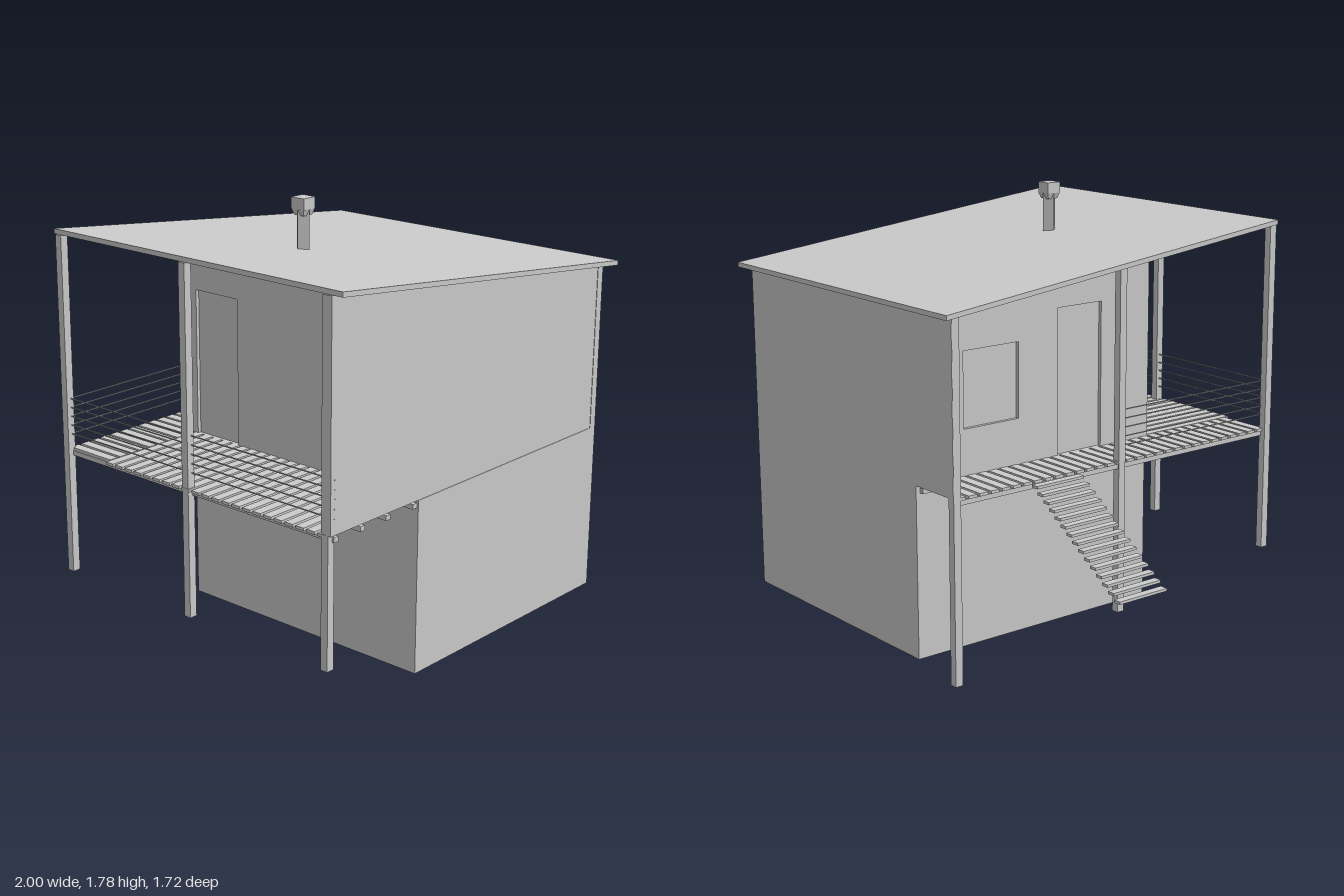
import * as THREE from 'three';

const grey = new THREE.MeshStandardMaterial({ color: 0xcccccc, flatShading: true });
const under = (z) => 1.535 + 0.111 * z; // underside of the sloping roof

export function createModel() {
  const house = new THREE.Group();
  house.name = 'stiltHouse';

  const add = (name, geometry, parent = house) => {
    const mesh = new THREE.Mesh(geometry, grey);
    mesh.name = name;
    parent.add(mesh);
    return mesh;
  };
  // Box given by its limits on each axis
  const box = (name, x0, x1, y0, y1, z0, z1, parent) => {
    const g = new THREE.BoxGeometry(x1 - x0, y1 - y0, z1 - z0);
    g.translate((x0 + x1) / 2, (y0 + y1) / 2, (z0 + z1) / 2);
    return add(name, g, parent);
  };
  const outline = (points) => points.map(([a, b]) => new THREE.Vector2(a, b));
  const rect = (a0, a1, b0, b1) => [[a0, b0], [a1, b0], [a1, b1], [a0, b1]];
  const sheet = (points, holes, depth) => {
    const shape = new THREE.Shape(outline(points));
    holes.forEach((h) => shape.holes.push(new THREE.Path(outline(h))));
    return new THREE.ExtrudeGeometry(shape, { depth, bevelEnabled: false });
  };
  // Side profile in (z, y), extruded across from x0 to x1
  const profile = (name, points, x0, x1, holes = []) => {
    const g = sheet(points, holes, x1 - x0);
    g.rotateY(-Math.PI / 2).translate(x1, 0, 0);
    return add(name, g);
  };
  const sloped = (z0, z1, y0) => [[z0, y0], [z1, y0], [z1, under(z1)], [z0, under(z0)]];
  const group = (name) => {
    const g = new THREE.Group();
    g.name = name;
    house.add(g);
    return g;
  };

  // Lower storey and upper room
  box('lowerStorey', -0.22, 0.955, 0.04, 0.75, -0.82, 0.36);
  profile('upperRoom', sloped(-0.81, 0.345, 0.75), -0.22, 0.945);

  // Walls with shallow door and window recesses
  const front = sheet(rect(-0.235, 0.945, 0.75, under(0.36)),
    [rect(-0.205, 0.025, 0.752, 1.36), rect(0.54, 0.775, 0.752, 1.36)], 0.015);
  front.translate(0, 0, 0.345);
  add('frontWall', front);
  profile('leftWall', sloped(-0.82, 0.36, 0.75), -0.235, -0.22,
    [rect(-0.6, -0.33, 0.94, 1.25), rect(-0.13, 0.1, 0.752, 1.36)]);
  profile('rightWall', sloped(-0.82, 0.855, 0.75), 0.938, 0.953);
  box('backWall', -0.46, 0.953, 0.75, under(-0.82), -0.82, -0.805);
  box('cornerPost', 0.925, 0.955, 0.75, under(-0.82), -0.82, -0.785);

  // Sloping roof slab
  profile('roof', [[-0.86, 1.44], [0.852, 1.63], [0.852, 1.65], [-0.86, 1.46]], -0.487, 1);

  // Chimney: turned square shaft under a square cap
  const shaft = new THREE.CylinderGeometry(0.0325, 0.0325, 0.19, 4);
  shaft.translate(0.263, 1.645, 0.235);
  add('chimneyShaft', shaft);
  const flare = new THREE.CylinderGeometry(0.046, 0.034, 0.025, 4);
  flare.rotateY(Math.PI / 4).translate(0.263, 1.7275, 0.235);
  add('chimneyFlare', flare);
  box('chimneyCap', 0.23, 0.295, 1.74, 1.785, 0.202, 0.267);

  // Stilts: [x, z, foot height]
  const posts = group('posts');
  [[-0.46, 0.838, 0.22], [0.222, 0.838, 0.22], [0.925, 0.838, 0.22],
    [-0.445, 0.02, 0.11], [-0.445, -0.802, 0]].forEach(([x, z, y]) =>
    box('post', x - 0.016, x + 0.016, y, under(z), z - 0.017, z + 0.017, posts));

  // Deck: beams below, boards above
  const deck = group('deck');
  [0.375, 0.53, 0.675, 0.82].forEach((z) =>
    box('crossBeam', -0.445, 0.95, 0.72, 0.74, z - 0.012, z + 0.012, deck));
  [-0.445, -0.235].forEach((x) =>
    box('sideBeam', x - 0.01, x + 0.01, 0.72, 0.74, -0.805, 0.82, deck));
  for (let i = 0; i < 22; i++) {
    const x = -0.22 + i * 0.053;
    box('frontBoard', x, x + 0.04, 0.74, 0.752, 0.345, 0.857, deck);
  }
  for (let i = 0; i < 31; i++) {
    const z = -0.8 + i * 0.053;
    box('sideBoard', -0.46, -0.225, 0.74, 0.752, z, z + 0.04, deck);
  }

  // Wire railings along the front and the left side
  const railing = group('railing');
  [0.96, 0.923, 0.886, 0.849, 0.812].forEach((y) => {
    box('frontWire', -0.445, 0.955, y - 0.002, y + 0.002, 0.832, 0.836, railing);
    box('sideWire', -0.452, -0.448, y - 0.002, y + 0.002, 0.02, 0.836, railing);
  });

  // Open stair treads rising to the deck
  const stairs = group('stairs');
  for (let i = 0; i < 15; i++) {
    const x = -1 + i * 0.0343;
    const y = 0.408 + i * 0.0236;
    box('tread', x, x + 0.033, y, y + 0.011, -0.465, -0.23, stairs);
  }

  return house;
}
